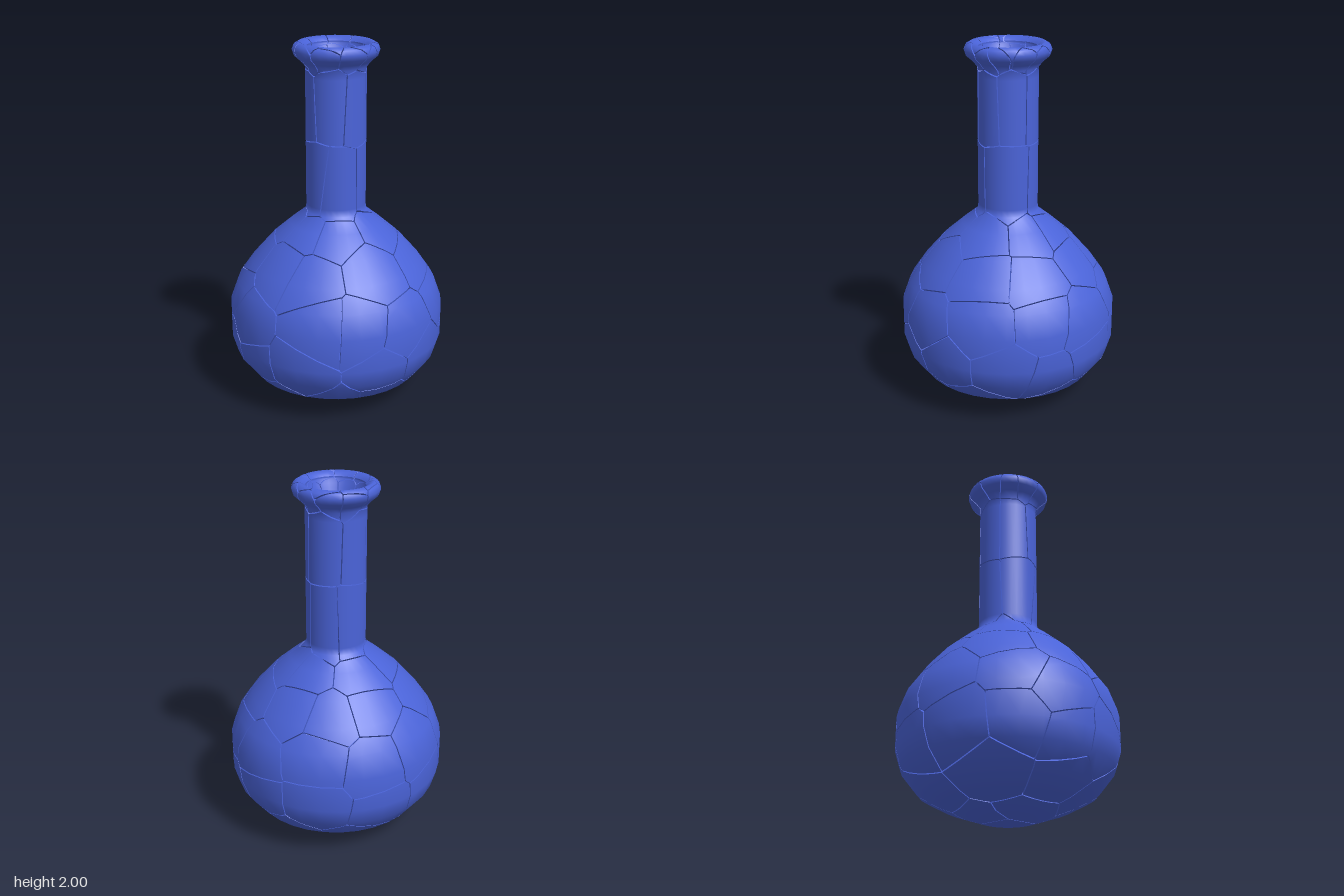
import * as THREE from 'three';

const SEGMENTS = 32;
const HALF_GAP = 0.003;

// Each row: outer radius, outer height, matching inner radius, inner height
const PROFILE = [
  [0, 0, 0, 0.05], [0.175, 0, 0.16, 0.05], [0.36, 0.07, 0.34, 0.115],
  [0.48, 0.135, 0.45, 0.175], [0.57, 0.25, 0.525, 0.275], [0.6, 0.35, 0.55, 0.36],
  [0.6, 0.54, 0.55, 0.53], [0.555, 0.665, 0.51, 0.64], [0.475, 0.78, 0.435, 0.745],
  [0.37, 0.9, 0.335, 0.86], [0.255, 1.0, 0.22, 0.96], [0.167, 1.07, 0.125, 1.05],
  [0.165, 1.11, 0.12, 1.1], [0.165, 1.82, 0.12, 1.82], [0.165, 1.87, 0.12, 1.87],
  [0.19, 1.9, 0.13, 1.89], [0.225, 1.93, 0.14, 1.92], [0.235, 1.96, 0.15, 1.94],
  [0.225, 1.985, 0.155, 1.955], [0.2, 2, 0.16, 1.965], [0.175, 1.99, 0.16, 1.97],
  [0.16, 1.975, 0.16, 1.975],
];

function makeRandom(seed) {
  return () => {
    seed = (seed * 16807) % 2147483647;
    return seed / 2147483647;
  };
}

// Fracture centres scattered over the body, neck and lip
function makeSeeds() {
  const random = makeRandom(4321);
  const seeds = [];
  const add = (name, angle, radius, y) => seeds.push({
    name, point: new THREE.Vector3(Math.sin(angle) * radius, y, Math.cos(angle) * radius),
  });
  const ring = (name, count, radius, y, spread) => {
    const start = random() * Math.PI;
    for (let i = 0; i < count; i++) {
      const angle = start + (i + (random() - 0.5) * 0.6) * Math.PI * 2 / count;
      add(name, angle, radius, y + (random() - 0.5) * spread);
    }
  };
  ring('bodyShard', 3, 0.1, 0.02, 0.02);
  ring('bodyShard', 8, 0.42, 0.12, 0.08);
  ring('bodyShard', 11, 0.58, 0.33, 0.16);
  ring('bodyShard', 11, 0.57, 0.59, 0.16);
  ring('bodyShard', 9, 0.43, 0.83, 0.1);
  ring('bodyShard', 7, 0.26, 0.99, 0.05);
  ring('neckShard', 5, 0.165, 1.16, 0.02);
  ring('neckShard', 6, 0.165, 1.78, 0.02);
  ring('lipShard', 11, 0.22, 1.93, 0.03);
  ring('lipShard', 8, 0.165, 1.975, 0.01);
  return seeds;
}

// Wall panels whose corners carry outer point, inner point, outer normal, inner normal
function makePanels() {
  const lathe = (column) => new THREE.LatheGeometry(
    PROFILE.map((row) => new THREE.Vector2(row[column], row[column + 1])), SEGMENTS);
  const outer = lathe(0), inner = lathe(2);
  const read = (geometry, name, i, sign = 1) => {
    const a = geometry.attributes[name];
    return [a.getX(i) * sign, a.getY(i) * sign, a.getZ(i) * sign];
  };
  const index = outer.index.array;
  const panels = [];
  for (let t = 0; t < index.length; t += 3) {
    const corners = [0, 1, 2].map((k) => {
      const i = index[t + k];
      return {
        cut: false,
        data: [...read(outer, 'position', i), ...read(inner, 'position', i),
          ...read(outer, 'normal', i), ...read(inner, 'normal', i, -1)],
      };
    });
    const [a, b, c] = corners.map((corner) => new THREE.Vector3(...corner.data.slice(0, 3)));
    if (b.sub(a).cross(c.sub(a)).length() > 1e-7) panels.push(corners);
  }
  return panels;
}

// Keep the part of a panel behind a plane, marking the edges made by the cut
function clip(panel, plane) {
  const { normal: n, constant } = plane;
  const distances = panel.map(({ data: d }) => d[0] * n.x + d[1] * n.y + d[2] * n.z + constant);
  if (distances.every((d) => d <= 0)) return panel;
  if (distances.every((d) => d > 0)) return [];
  const result = [];
  panel.forEach((a, i) => {
    const j = (i + 1) % panel.length;
    const b = panel[j], da = distances[i], db = distances[j];
    if (da <= 0) result.push(a);
    if ((da <= 0) !== (db <= 0)) {
      const t = da / (da - db);
      result.push({ cut: da <= 0 || a.cut, data: a.data.map((v, k) => v + (b.data[k] - v) * t) });
    }
  });
  return result;
}

// Turn clipped panels into a solid shard: outside, inside and broken edges
function makeShard(panels) {
  const positions = [], normals = [];
  const push = (p, n) => {
    positions.push(...p);
    normals.push(...n);
  };
  const outside = ({ data }) => data.slice(0, 3);
  const inside = ({ data }) => data.slice(3, 6);
  for (const panel of panels) {
    for (let i = 1; i < panel.length - 1; i++) {
      const fan = [panel[0], panel[i], panel[i + 1]];
      fan.forEach((v) => push(outside(v), v.data.slice(6, 9)));
      fan.reverse().forEach((v) => push(inside(v), v.data.slice(9, 12)));
    }
    panel.forEach((a, i) => {
      if (!a.cut) return;
      const b = panel[(i + 1) % panel.length];
      const quad = [outside(a), inside(a), inside(b), outside(b)];
      const [p, q, r] = quad.map((v) => new THREE.Vector3(...v));
      const normal = q.sub(p).cross(r.sub(p)).normalize().toArray();
      [0, 1, 2, 0, 2, 3].forEach((k) => push(quad[k], normal));
    });
  }
  const geometry = new THREE.BufferGeometry();
  geometry.setAttribute('position', new THREE.Float32BufferAttribute(positions, 3));
  geometry.setAttribute('normal', new THREE.Float32BufferAttribute(normals, 3));
  return geometry;
}

export function createModel() {
  const flask = new THREE.Group();
  flask.name = 'crackedFlask';
  const glass = new THREE.MeshStandardMaterial({ color: 0x4a63d8 });
  const seeds = makeSeeds();
  const panels = makePanels();

  // One shard per fracture centre, separated from its neighbours by a thin gap
  for (const seed of seeds) {
    let pieces = panels;
    for (const other of seeds) {
      if (other === seed) continue;
      const normal = other.point.clone().sub(seed.point).normalize();
      const middle = seed.point.clone().add(other.point).multiplyScalar(0.5);
      middle.addScaledVector(normal, -HALF_GAP);
      const plane = new THREE.Plane().setFromNormalAndCoplanarPoint(normal, middle);
      pieces = pieces.map((piece) => clip(piece, plane)).filter((piece) => piece.length > 2);
    }
    if (!pieces.length) continue;
    const shard = new THREE.Mesh(makeShard(pieces), glass);
    shard.name = seed.name;
    flask.add(shard);
  }
  return flask;
}
